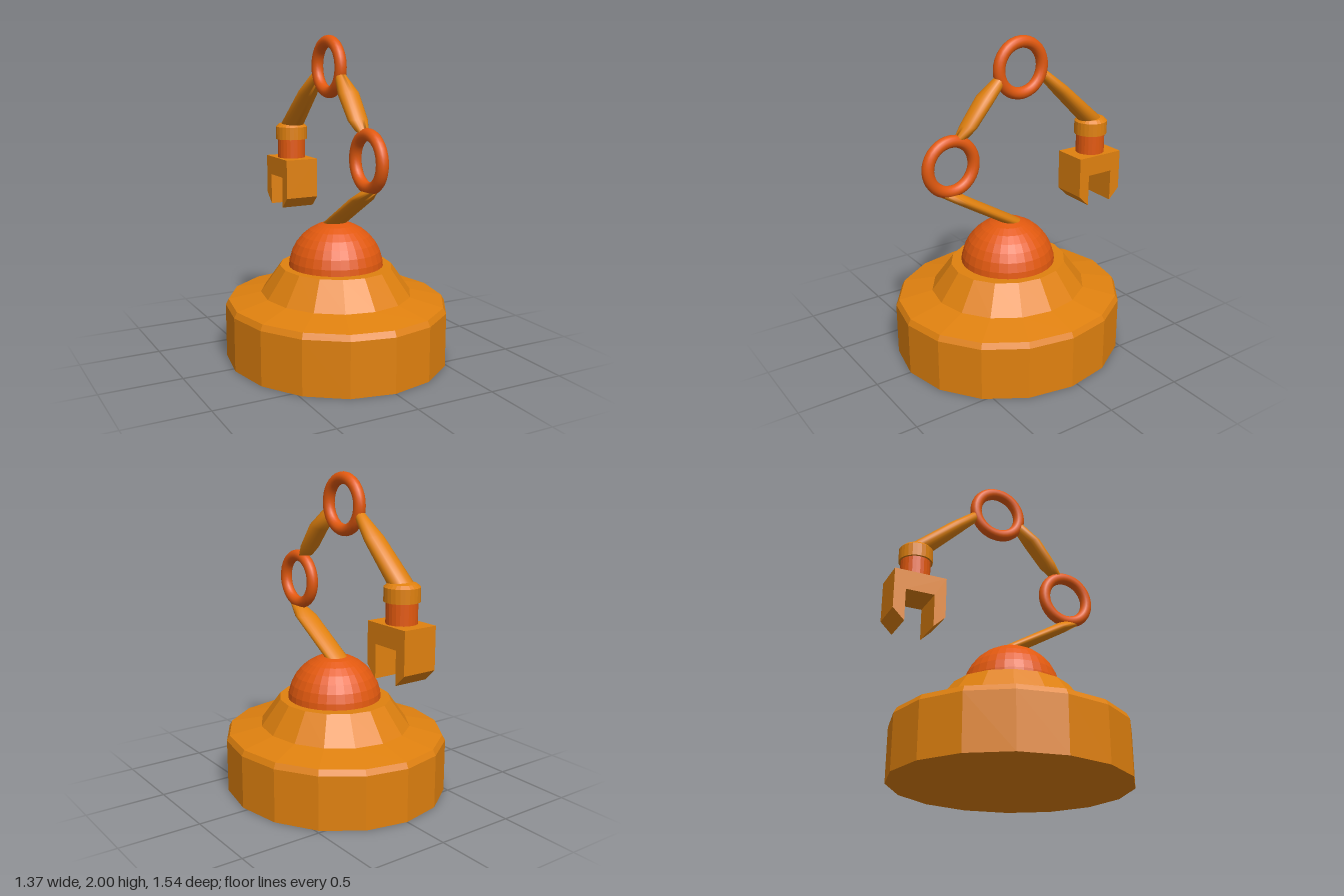
import * as THREE from 'three';

const amber = new THREE.MeshStandardMaterial({ color: 0xe0810f });
const orange = new THREE.MeshStandardMaterial({ color: 0xe2590f });
amber.name = 'amber paint';
orange.name = 'orange paint';

// One normal per face, for the faceted parts
function faceted(geometry) {
  const flat = geometry.index ? geometry.toNonIndexed() : geometry;
  flat.computeVertexNormals();
  return flat;
}

// Turned solid from [radius, height] points, listed bottom to top
function turned(points, sides) {
  return faceted(new THREE.LatheGeometry(points.map(([r, y]) => new THREE.Vector2(r, y)), sides));
}

// Arm through elliptical sections [frontZ, frontY, backZ, backY, halfWidth], bottom to top
function armGeometry(sections, sides = 20) {
  const positions = [];
  const index = [];
  for (const [z1, y1, z2, y2, w] of sections) {
    for (let i = 0; i < sides; i++) {
      const a = (i / sides) * Math.PI * 2;
      const t = (1 + Math.cos(a)) / 2;
      positions.push(w * Math.sin(a), y2 + (y1 - y2) * t, z2 + (z1 - z2) * t);
    }
  }
  for (let s = 0; s < sections.length - 1; s++) {
    for (let i = 0; i < sides; i++) {
      const a = s * sides + i;
      const b = s * sides + ((i + 1) % sides);
      index.push(a, b, b + sides, a, b + sides, a + sides);
    }
  }
  // End caps
  const top = (sections.length - 1) * sides;
  for (let i = 1; i < sides - 1; i++) {
    index.push(0, i + 1, i, top, top + i, top + i + 1);
  }
  const g = new THREE.BufferGeometry();
  g.setAttribute('position', new THREE.Float32BufferAttribute(positions, 3));
  g.setIndex(index);
  g.computeVertexNormals();
  return g;
}

export function createModel() {
  const model = new THREE.Group();
  model.name = 'robotArm';
  const add = (name, geometry, material, x = 0, y = 0, z = 0) => {
    const mesh = new THREE.Mesh(geometry, material);
    mesh.name = name;
    mesh.position.set(x, y, z);
    model.add(mesh);
    return mesh;
  };

  // Sixteen-sided stepped base, slightly longer front to back
  const base = turned([
    [0, 0], [0.686, 0], [0.686, 0.335], [0.668, 0.37],
    [0.466, 0.415], [0.347, 0.585], [0, 0.585],
  ], 16);
  base.scale(1, 1, 1.066);
  add('base', faceted(base), amber, 0, 0, 0.04);

  // Shoulder dome
  add('shoulderDome',
    faceted(new THREE.SphereGeometry(0.297, 32, 8, 0, Math.PI * 2, 0, Math.PI / 2)),
    orange, 0, 0.565, 0.042);

  // Ring joints
  const ring = new THREE.TorusGeometry(0.155, 0.037, 16, 36);
  ring.rotateY(Math.PI / 2);
  add('elbowRing', ring, orange, 0, 1.285, 0.44);
  add('upperRing', ring, orange, 0, 1.808, -0.055);

  // Arm segments
  add('lowerArm', armGeometry([
    [0.06, 0.83, -0.07, 0.83, 0.073],
    [0.43, 1.055, 0.30, 1.055, 0.073],
    [0.52, 1.112, 0.39, 1.112, 0.038],
  ]), amber);
  add('middleArm', armGeometry([
    [0.415, 1.445, 0.31, 1.455, 0.036],
    [0.36, 1.52, 0.265, 1.505, 0.062],
    [0.245, 1.675, 0.155, 1.635, 0.066],
    [0.115, 1.782, 0.09, 1.70, 0.036],
  ]), amber);
  add('foreArm', armGeometry([
    [-0.525, 1.395, -0.69, 1.395, 0.076],
    [-0.31, 1.61, -0.39, 1.655, 0.066],
    [-0.21, 1.71, -0.235, 1.775, 0.036],
  ]), amber);

  // Wrist collar and post
  add('wristCollar', turned([
    [0, 1.31], [0.105, 1.31], [0.105, 1.393], [0.085, 1.412], [0.04, 1.425], [0, 1.427],
  ], 24), amber, 0, 0, -0.606);
  add('wristPost', faceted(new THREE.CylinderGeometry(0.092, 0.092, 0.14, 24)),
    orange, 0, 1.25, -0.606);

  // Gripper: side outline from its centre line, extruded across the width
  const half = [[0.163, 1.185], [0.163, 0.928], [0.09, 0.857], [0.09, 1.061]];
  const outline = [...half, ...half.map(([z, y]) => [-z, y]).reverse()];
  const gripper = new THREE.ExtrudeGeometry(
    new THREE.Shape(outline.map(([z, y]) => new THREE.Vector2(z, y))),
    { depth: 0.224, bevelEnabled: false });
  gripper.translate(0, 0, -0.112);
  gripper.rotateY(-Math.PI / 2);
  add('gripper', gripper, amber, 0, 0, -0.605);

  return model;
}
